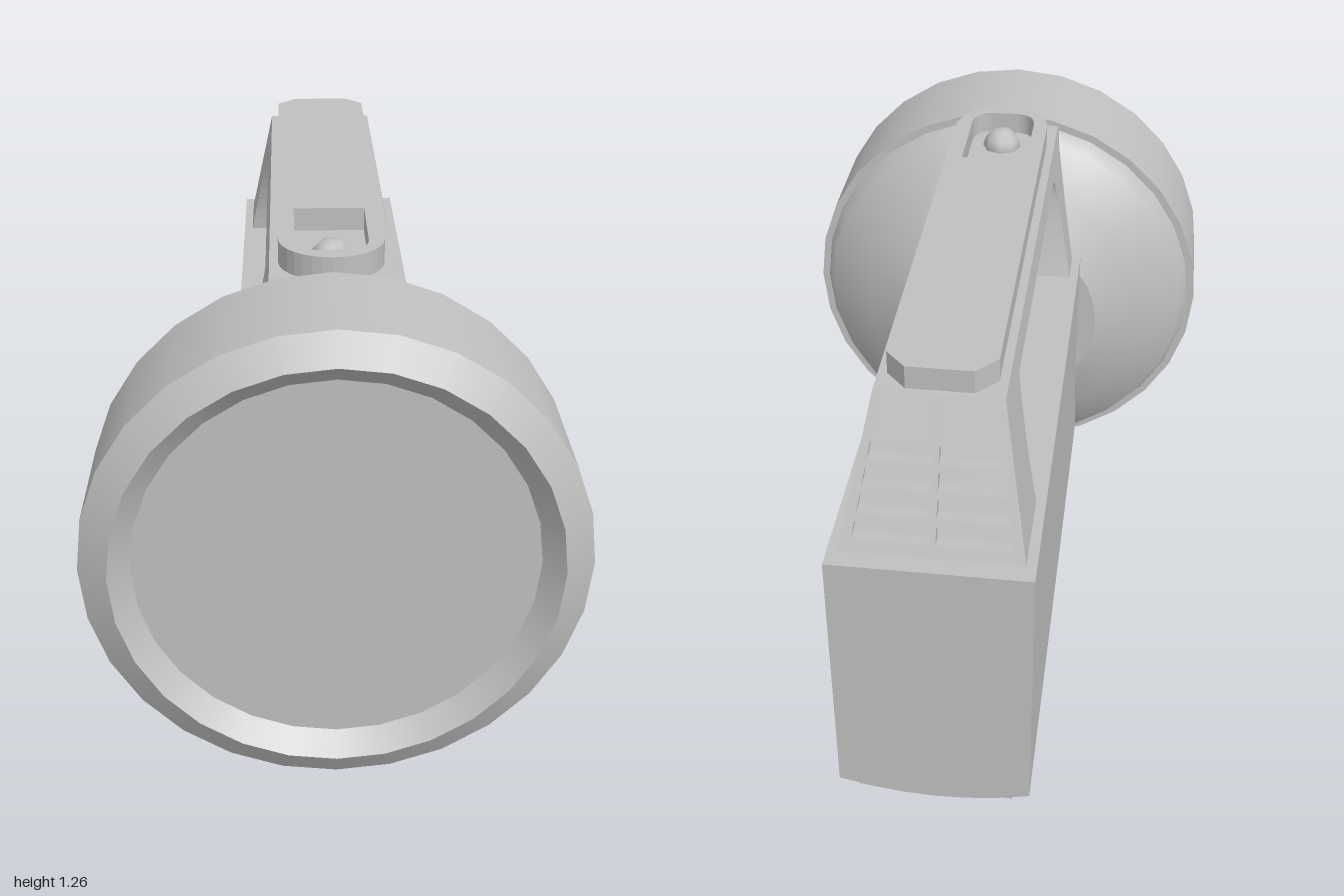
import * as THREE from 'three';

const grey = new THREE.MeshStandardMaterial({ color: 0xc0c0c0 });
grey.name = 'grey plastic';

const AXIS_Y = 0.627; // height of the lamp head's axis
const GRIP_TOP = 1.2;

export function createModel() {
  const model = new THREE.Group();

  function add(parent, name, geometry, x = 0, y = 0, z = 0) {
    const mesh = new THREE.Mesh(geometry, grey);
    mesh.name = name;
    mesh.position.set(x, y, z);
    parent.add(mesh);
    return mesh;
  }

  // Lamp head: one turned section per crease, profiles as [radius, z] from back to front
  const head = new THREE.Group();
  head.name = 'lampHead';
  model.add(head);
  const sections = {
    reflectorHousing: [[0, 0.435], [0.3, 0.435]],
    reflectorCone: [[0.3, 0.435], [0.43, 0.502], [0.555, 0.575], [0.58, 0.625]],
    rimBack: [[0.58, 0.625], [0.602, 0.625]],
    rimBand: [[0.602, 0.625], [0.602, 0.955]],
    rimBevel: [[0.602, 0.955], [0.53, 1]],
    rimRecess: [[0.53, 1], [0.48, 0.95]],
    lens: [[0.48, 0.95], [0, 0.95]],
  };
  for (const [name, profile] of Object.entries(sections)) {
    const geometry = new THREE.LatheGeometry(profile.map(([r, z]) => new THREE.Vector2(r, z)), 28);
    geometry.rotateX(Math.PI / 2);
    add(head, name, geometry, 0, AXIS_Y, 0);
  }

  // Battery case: straight sides and a shallow curved underside
  const caseShape = new THREE.Shape();
  caseShape.moveTo(0.245, 0.85);
  caseShape.lineTo(-0.245, 0.85);
  caseShape.lineTo(-0.245, 0.115);
  caseShape.quadraticCurveTo(0, 0.045, 0.245, 0.115);
  caseShape.closePath();
  add(model, 'batteryCase', new THREE.ExtrudeGeometry(caseShape,
    { depth: 1.6, bevelEnabled: false, curveSegments: 6 }), 0, 0, -1);

  // Feet
  add(model, 'frontFoot', new THREE.BoxGeometry(0.4, 0.1, 0.025), 0, 0.05, 0.67);
  add(model, 'rearFoot', new THREE.BoxGeometry(0.4, 0.06, 0.025), 0, 0.095, -0.96);

  // Handle side profile in (z, y), optionally with vent slots in the sloping back
  const slopeZ = (y) => -0.95 + 0.16 * (y - 0.85) / 0.35;
  function handleShape(vented) {
    const s = new THREE.Shape();
    s.moveTo(0.62, 0.8);
    s.lineTo(0.62, GRIP_TOP);
    s.lineTo(-0.79, GRIP_TOP);
    for (let i = 3; vented && i >= 0; i--) {
      const low = 0.878 + i * 0.058, high = low + 0.04;
      s.lineTo(slopeZ(high), high);
      s.lineTo(slopeZ(high) + 0.03, high);
      s.lineTo(slopeZ(low) + 0.03, low);
      s.lineTo(slopeZ(low), low);
    }
    s.lineTo(-0.95, 0.85);
    s.lineTo(-0.95, 0.8);
    s.lineTo(-0.71, 0.8);
    s.lineTo(-0.71, 0.85);
    s.quadraticCurveTo(-0.7, 0.99, -0.6, 1.145);
    s.lineTo(0.36, 1.145);
    s.quadraticCurveTo(0.39, 1.14, 0.38, 1.06);
    s.quadraticCurveTo(0.37, 0.98, 0.33, 0.85);
    s.lineTo(0.33, 0.8);
    s.closePath();
    return s;
  }

  // Handle layers across the width; each is flared so the posts widen downwards
  const handle = new THREE.Group();
  handle.name = 'handle';
  model.add(handle);
  function handleLayer(name, from, to, vented) {
    const geometry = new THREE.ExtrudeGeometry(handleShape(vented),
      { depth: to - from, bevelEnabled: false, curveSegments: 8 });
    geometry.rotateY(-Math.PI / 2);
    geometry.translate(to, 0, 0);
    const p = geometry.attributes.position;
    for (let i = 0; i < p.count; i++) {
      const halfWidth = 0.152 + 0.068 * (GRIP_TOP - p.getY(i)) / 0.35;
      p.setX(i, p.getX(i) * halfWidth);
    }
    geometry.computeVertexNormals();
    add(handle, name, geometry);
  }
  handleLayer('handleRightSide', -1, -0.88, false);
  handleLayer('handleRightVents', -0.88, -0.04, true);
  handleLayer('handleCentre', -0.04, 0.04, false);
  handleLayer('handleLeftVents', 0.04, 0.88, true);
  handleLayer('handleLeftSide', 0.88, 1, false);

  // Top plate in (x, -z): rounded front, clipped rear corners, switch well
  const plate = new THREE.Shape();
  plate.moveTo(0.13, -0.48);
  plate.lineTo(0.13, 0.72);
  plate.lineTo(0.08, 0.775);
  plate.lineTo(-0.08, 0.775);
  plate.lineTo(-0.13, 0.72);
  plate.lineTo(-0.13, -0.48);
  plate.absarc(0, -0.48, 0.13, Math.PI, Math.PI * 2, false);
  const well = new THREE.Path();
  well.moveTo(0.09, -0.265);
  well.lineTo(0.09, -0.5);
  well.quadraticCurveTo(0.085, -0.555, 0.04, -0.56);
  well.lineTo(-0.04, -0.56);
  well.quadraticCurveTo(-0.085, -0.555, -0.09, -0.5);
  well.lineTo(-0.09, -0.265);
  well.closePath();
  plate.holes.push(well);
  const plateGeometry = new THREE.ExtrudeGeometry(plate,
    { depth: 0.06, bevelEnabled: false, curveSegments: 8 });
  plateGeometry.rotateX(-Math.PI / 2);
  add(model, 'gripPlate', plateGeometry, 0, GRIP_TOP, 0);

  // Switch button sitting in the well
  add(model, 'switchButton', new THREE.SphereGeometry(0.055, 8, 6), 0, GRIP_TOP, 0.47);

  return model;
}
